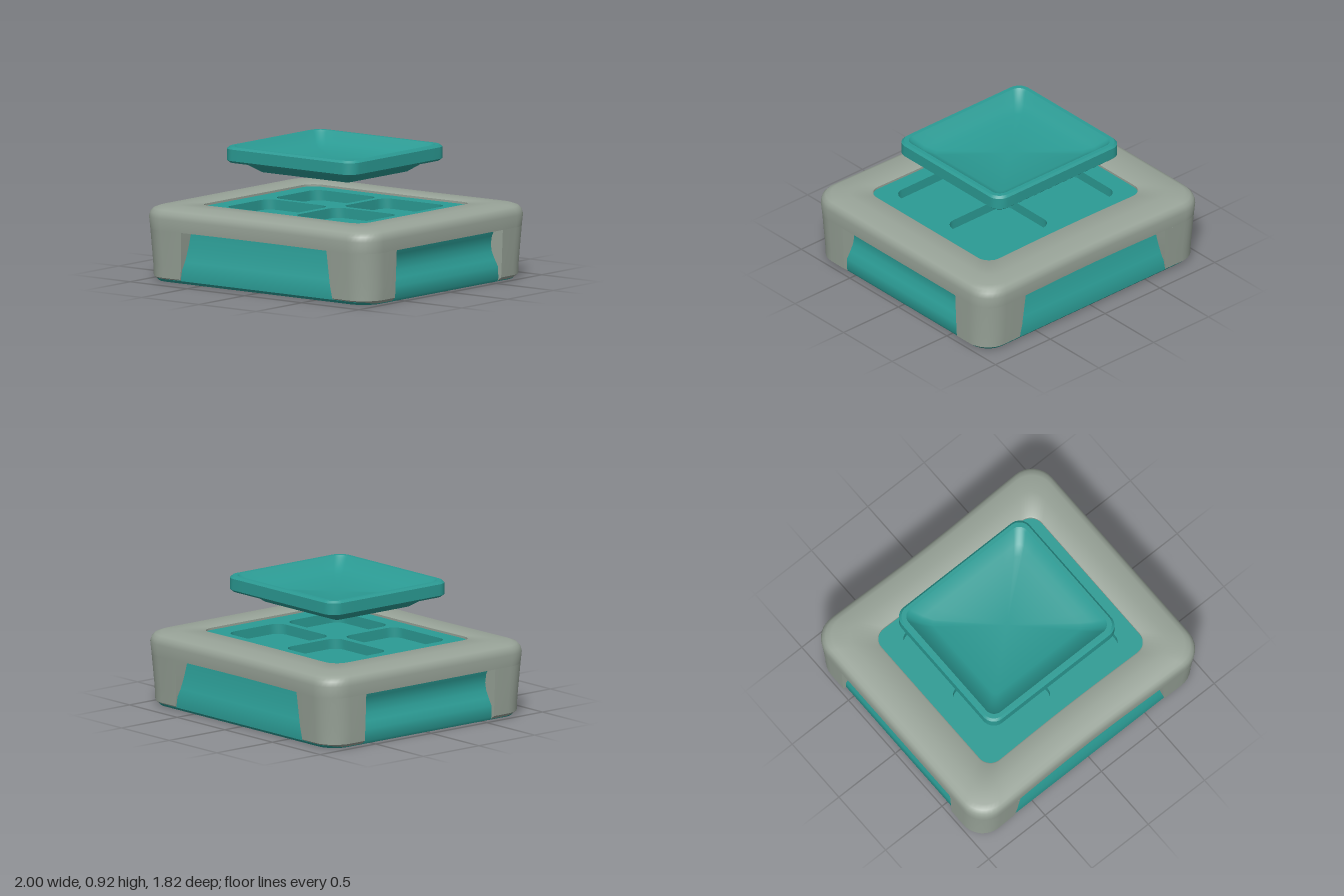
import * as THREE from 'three';
import { toCreasedNormals } from 'three/addons/utils/BufferGeometryUtils.js';

const grey = new THREE.MeshStandardMaterial({ color: 0x98a398 });
grey.name = 'sage grey';
const teal = new THREE.MeshStandardMaterial({ color: 0x2b9b94 });
teal.name = 'teal';

const ARC = 8, SIDE = 8;

// Quarter arc at the (+x, +z) corner of a rounded rectangle
function cornerArc(hx, hz, r) {
  const pts = [];
  for (let i = 0; i <= ARC; i++) {
    const a = (i / ARC) * Math.PI / 2;
    pts.push([hx - r + r * Math.cos(a), hz - r + r * Math.sin(a)]);
  }
  return pts;
}

// Rounded rectangle ring at height y, with subdivided sides
function ring(hx, hz, r, y, cx = 0, cz = 0) {
  const a = cornerArc(hx, hz, r);
  const flip = (sx, sz) => a.map(([x, z]) => [sx * x, sz * z]);
  const corners = [a, flip(-1, 1).reverse(), flip(-1, -1), flip(1, -1).reverse()];
  const pts = [];
  corners.forEach((c, k) => {
    pts.push(...c);
    const p = c[ARC], q = corners[(k + 1) % 4][0];
    for (let i = 1; i < SIDE; i++) {
      const t = i / SIDE;
      pts.push([p[0] + (q[0] - p[0]) * t, p[1] + (q[1] - p[1]) * t]);
    }
  });
  return pts.map(([x, z]) => new THREE.Vector3(x + cx, y, z + cz));
}

// Skin between rings, with optional flat caps
function loft(rings, { caps = true, rule = null, crease = 0.6 } = {}) {
  const out = [];
  const tri = (...ps) => ps.forEach((p) => out.push(p.x, p.y, p.z));
  if (rule) rings.forEach((r) => r.forEach(rule));
  const n = rings[0].length;
  for (let i = 0; i < rings.length - 1; i++) {
    for (let j = 0; j < n; j++) {
      const k = (j + 1) % n;
      const a = rings[i][j], b = rings[i][k], c = rings[i + 1][j], d = rings[i + 1][k];
      tri(a, c, b);
      tri(b, c, d);
    }
  }
  if (caps) {
    const first = rings[0], last = rings[rings.length - 1];
    const mid = (r) => r.reduce((s, p) => s.add(p), new THREE.Vector3()).divideScalar(n);
    const m0 = mid(first), m1 = mid(last);
    for (let j = 0; j < n; j++) {
      const k = (j + 1) % n;
      tri(m0, first[j], first[k]);
      tri(m1, last[k], last[j]);
    }
  }
  const g = new THREE.BufferGeometry();
  g.setAttribute('position', new THREE.Float32BufferAttribute(out, 3));
  return toCreasedNormals(g, crease);
}

// Front and back sides bow slightly inwards between the corners
function bow(p) {
  p.z *= 1 - 0.02 * Math.cos(Math.min(1, Math.abs(p.x)) * Math.PI / 2) ** 2;
}

function roundedPath(Type, cx, cz, hx, hz, r) {
  return new Type(ring(hx, hz, r, 0, cx, cz).map((p) => new THREE.Vector2(p.x, p.z)));
}

export function createModel() {
  const model = new THREE.Group();
  const add = (name, geometry, material) => {
    const m = new THREE.Mesh(geometry, material);
    m.name = name;
    model.add(m);
    return m;
  };

  // Top frame: closed band around the sunken insert
  const frame = [
    [0.71, 0.625, 0.1, 0.36], [0.995, 0.905, 0.18, 0.36], [1, 0.912, 0.18, 0.44],
    [0.993, 0.905, 0.18, 0.475], [0.975, 0.885, 0.17, 0.498], [0.945, 0.855, 0.16, 0.51],
    [0.85, 0.76, 0.13, 0.518], [0.72, 0.635, 0.11, 0.522], [0.71, 0.625, 0.1, 0.515], [0.71, 0.625, 0.1, 0.4],
  ].map(([hx, hz, r, y]) => {
    const hole = hx < 0.73;
    return ring(hx, hz, r, y, hole ? 0.01 : 0, hole ? 0.015 : 0);
  });
  add('topFrame', loft(frame, { caps: false, rule: bow, crease: 0.75 }), grey);

  // Corner posts, tapering towards the floor
  for (const sx of [1, -1]) {
    for (const sz of [1, -1]) {
      const rings = [[0.95, 0.85, 0.15, 0.006, 0.67], [0.98, 0.878, 0.17, 0.03, 0.665],
        [0.985, 0.885, 0.18, 0.12, 0.65], [0.995, 0.905, 0.18, 0.36, 0.635]]
        .map(([hx, hz, r, y, ix]) => {
          const iz = 0.58;
          const pts = [[hx, iz], ...cornerArc(hx, hz, r), [ix, hz], [ix, iz]]
            .map(([x, z]) => new THREE.Vector3(sx * x, y, sz * z));
          return sx * sz < 0 ? pts.reverse() : pts;
        });
      add('cornerPost', loft(rings, { rule: bow }), grey);
    }
  }

  // Inner body: bottom lip and scooped side panels seen in the openings
  const core = [
    [0.945, 0.845, 0], [0.955, 0.865, 0.02], [0.955, 0.865, 0.1], [0.925, 0.842, 0.15],
    [0.9, 0.825, 0.2], [0.89, 0.81, 0.25], [0.9, 0.797, 0.31], [0.93, 0.785, 0.37], [0.93, 0.785, 0.43],
  ].map(([hx, hz, y]) => ring(hx, hz, 0.14, y));
  add('innerBody', loft(core), teal);

  // Insert with four shallow compartments
  const plate = roundedPath(THREE.Shape, 0.01, 0.015, 0.715, 0.63, 0.1);
  for (const sx of [-1, 1]) {
    for (const sz of [-1, 1]) {
      plate.holes.push(roundedPath(THREE.Path, 0.01 + sx * 0.3, 0.015 + sz * 0.265, 0.275, 0.24, 0.08));
    }
  }
  const insert = new THREE.ExtrudeGeometry(plate, { depth: 0.075, bevelEnabled: false });
  insert.rotateX(Math.PI / 2);
  insert.translate(0, 0.5, 0);
  add('compartmentInsert', toCreasedNormals(insert, 0.6), teal);

  // Floating lid tray: tapered underside, rim and dished top
  const tray = [
    [0.385, 0.335, 0.03, 0.737], [0.485, 0.44, 0.05, 0.81], [0.55, 0.51, 0.08, 0.81],
    [0.567, 0.527, 0.09, 0.825], [0.567, 0.527, 0.09, 0.905], [0.553, 0.513, 0.085, 0.92],
    [0.525, 0.525 - 0.04, 0.07, 0.92], [0.51, 0.47, 0.06, 0.905], [0.45, 0.405, 0.05, 0.85],
    [0.39, 0.345, 0.04, 0.825],
  ].map(([hx, hz, r, y]) => ring(hx, hz, r, y, -0.012, 0));
  add('lidTray', loft(tray, { crease: 0.5 }), teal);

  return model;
}
